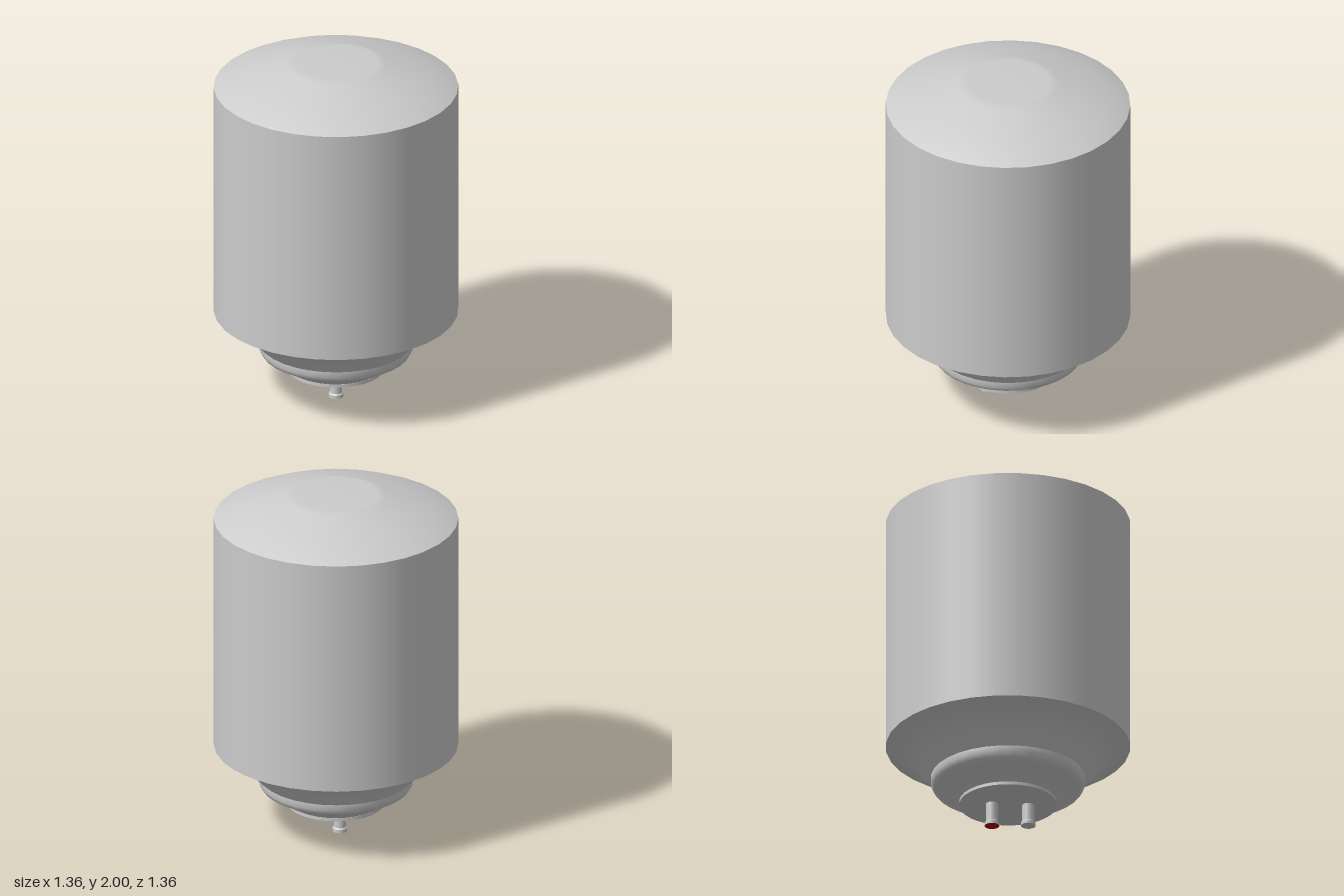
import * as THREE from 'three';

const SIDES = 32;

export function createModel() {
  const model = new THREE.Group();
  const grey = new THREE.MeshStandardMaterial({ color: 0xcccccc });
  const red = new THREE.MeshStandardMaterial({ color: 0xaa0000 });

  // Turned section; points are [radius, height] from bottom to top
  function turned(name, points, parent = model, sides = SIDES, material = grey) {
    const profile = points.map(([r, y]) => new THREE.Vector2(r, y));
    const mesh = new THREE.Mesh(new THREE.LatheGeometry(profile, sides), material);
    mesh.name = name;
    parent.add(mesh);
    return mesh;
  }

  // Tank shell: each smooth section is its own lathe, so the seams stay sharp
  turned('domedLid', [[0.68, 1.853], [0.57, 1.905], [0.42, 1.95], [0.28, 1.99], [0.235, 2], [0, 2]]);
  turned('tankWall', [[0.68, 0.49], [0.68, 1.853]]);
  turned('lowerCone', [[0.43, 0.3], [0.51, 0.385], [0.585, 0.46], [0.68, 0.49]]);
  turned('lowerBowl', [[0.27, 0.153], [0.35, 0.203], [0.39, 0.225], [0.415, 0.24], [0.43, 0.267], [0.43, 0.3]]);

  // Flat plate closing the bottom
  const plate = new THREE.Mesh(new THREE.CylinderGeometry(0.272, 0.272, 0.018, SIDES), grey);
  plate.name = 'bottomPlate';
  plate.position.y = 0.144;
  model.add(plate);

  // Pipe stubs with a collar and a closed end
  function pipe(name, z, bottom, endMaterial) {
    const group = new THREE.Group();
    group.name = name;
    group.position.set(-0.004, 0, z);
    turned('pipeStem', [[0.034, bottom + 0.02], [0.034, 0.14]], group, 16);
    turned('collarRim', [[0.041, bottom], [0.041, bottom + 0.02]], group, 16);
    turned('collarTop', [[0.041, bottom + 0.02], [0.033, bottom + 0.028]], group, 16);
    turned('pipeEnd', [[0, bottom], [0.041, bottom]], group, 16, endMaterial);
    model.add(group);
  }
  pipe('frontPipe', 0.113, 0.01, grey);
  pipe('backPipe', -0.09, 0, red);

  return model;
}
